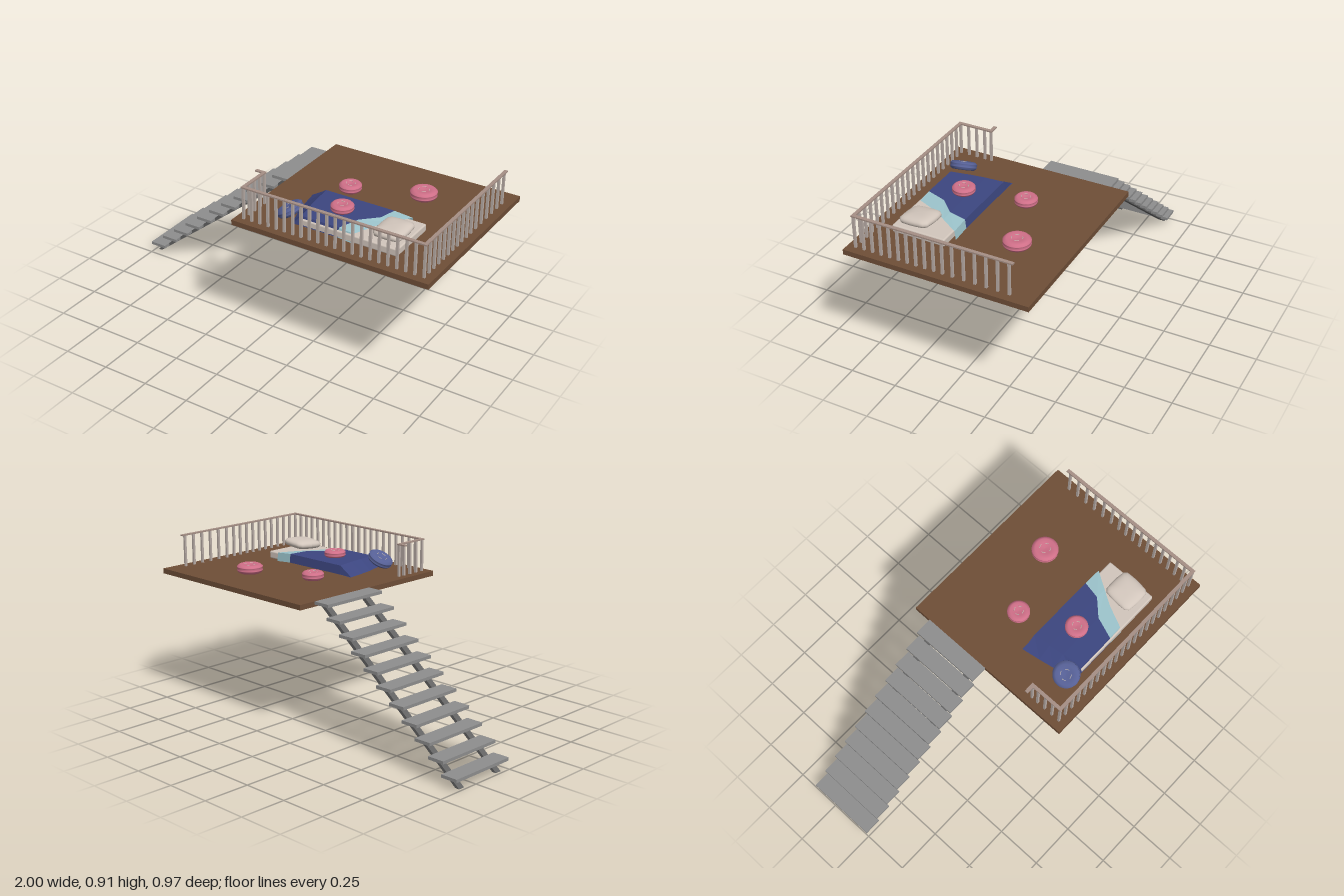
import * as THREE from 'three';
import { RoundedBoxGeometry } from 'three/addons/geometries/RoundedBoxGeometry.js';

const mat = (name, color, side = THREE.FrontSide) => {
  const m = new THREE.MeshStandardMaterial({ color, side });
  m.name = name;
  return m;
};

export function createModel() {
  const M = {
    wood: mat('wood', 0x6f4e37),
    tread: mat('stepGrey', 0x8e8e8e),
    stringer: mat('stringerGrey', 0x626262),
    rail: mat('railTaupe', 0xa58f85),
    post: mat('postGrey', 0xb8aca6),
    pink: mat('pink', 0xcf6f88),
    linen: mat('linen', 0xd2c6bc),
    navy: mat('navy', 0x3c4680, THREE.DoubleSide),
    sky: mat('paleBlue', 0x9cc4cc, THREE.DoubleSide),
    slate: mat('slateBlue', 0x566096),
  };
  for (const k of ['navy', 'sky']) M[k].flatShading = true;

  const model = new THREE.Group();
  model.name = 'sleepingLoft';
  const group = (name) => {
    const g = new THREE.Group();
    g.name = name;
    model.add(g);
    return g;
  };
  const add = (parent, name, geo, material, x = 0, y = 0, z = 0) => {
    const m = new THREE.Mesh(geo, material);
    m.name = name;
    m.position.set(x, y, z);
    parent.add(m);
    return m;
  };
  // Box given by its lower and upper limits
  const box = (parent, name, material, [x0, x1], [y0, y1], [z0, z1]) =>
    add(parent, name, new THREE.BoxGeometry(x1 - x0, y1 - y0, z1 - z0), material,
      (x0 + x1) / 2, (y0 + y1) / 2, (z0 + z1) / 2);

  // Platform
  box(model, 'platform', M.wood, [-0.075, 1], [0.703, 0.73], [-0.487, 0.487]);

  // Open stairs: eleven treads on two sloping stringers
  const stairs = group('stairs');
  for (let i = 0; i < 11; i++) {
    const x = -1 + i * 0.0832, y = 0.055 + i * 0.0667;
    box(stairs, 'tread', M.tread, [x, x + 0.093], [y - 0.008, y + 0.008], [-0.39, -0.008]);
  }
  const slope = new THREE.Shape([
    [-0.985, 0], [-0.962, 0], [-0.076, 0.708], [-0.096, 0.716],
  ].map((p) => new THREE.Vector2(...p)));
  for (const z of [-0.083, -0.353])
    add(stairs, 'stringer', new THREE.ExtrudeGeometry(slope, { depth: 0.035, bevelEnabled: false }),
      M.stringer, 0, 0, z);

  // Railing on the front, left side and a short return by the stairs
  const railing = group('railing');
  const railY = [0.899, 0.906];
  box(railing, 'frontRail', M.rail, [-0.039, 0.964], railY, [0.435, 0.453]);
  box(railing, 'sideRail', M.rail, [0.946, 0.964], railY, [-0.39, 0.435]);
  box(railing, 'stairRail', M.rail, [-0.039, -0.021], railY, [0.257, 0.435]);
  box(railing, 'returnRail', M.rail, [-0.078, -0.039], railY, [0.257, 0.275]);
  const post = (x, z) => box(railing, 'baluster', M.post,
    [x - 0.006, x + 0.006], [0.728, 0.9], [z - 0.006, z + 0.006]);
  for (let i = 0; i <= 21; i++) post(-0.03 + i * 0.985 / 21, 0.444);
  for (let i = 1; i <= 10; i++) post(0.955, 0.444 - i * 0.0469);
  for (let i = 0; i < 6; i++) post(0.955, -0.077 - i * 0.0582);
  for (let i = 1; i <= 3; i++) post(-0.03, 0.444 - i * 0.0469);
  post(-0.03, 0.266);

  // Mattress
  const bed = group('bed');
  add(bed, 'mattress', new RoundedBoxGeometry(0.54, 0.041, 0.286, 2, 0.008), M.linen, 0.5, 0.7515, 0.218);

  // Pillow: a flattened sphere pushed out towards square corners
  const pg = new THREE.SphereGeometry(1, 28, 18);
  const pp = pg.attributes.position;
  const sq = (v, e) => Math.sign(v) * Math.abs(v) ** e;
  for (let i = 0; i < pp.count; i++) {
    const x = pp.getX(i), y = pp.getY(i), z = pp.getZ(i);
    const r = Math.hypot(x, z);
    const k = r > 1e-5 ? r / Math.max(Math.abs(x), Math.abs(z)) : 1;
    const grow = 1 + (k - 1) * 0.75;
    pp.setXYZ(i, sq(r, 0.7) * (r > 1e-5 ? x / r : 0) * grow * 0.08,
      sq(y, 0.9) * 0.027, sq(r, 0.7) * (r > 1e-5 ? z / r : 0) * grow * 0.084);
  }
  pg.computeVertexNormals();
  add(bed, 'pillow', pg, M.linen, 0.688, 0.802, 0.25).rotation.set(0.08, -0.05, 0.06);

  // Blanket: strips between edge lines that run across the bed
  const across = [0.06, 0.066, 0.16, 0.24, 0.35, 0.362];
  const height = [0.737, 0.784, 0.787, 0.787, 0.784, 0.737];
  const edge = (xs, lift = 0, flat = false) => xs.map((x, i) =>
    [x, flat ? 0.734 : height[i] + lift, across[i]]);
  const sheet = (name, material, edges) => {
    const n = across.length, index = [];
    for (let r = 0; r < edges.length - 1; r++)
      for (let c = 0; c < n - 1; c++) {
        const a = r * n + c, b = a + n;
        index.push(a, a + 1, b, b, a + 1, b + 1);
      }
    const g = new THREE.BufferGeometry();
    g.setAttribute('position', new THREE.Float32BufferAttribute(edges.flat(2), 3));
    g.setIndex(index);
    g.computeVertexNormals();
    add(bed, name, g, material);
  };
  const foldLine = [0.59, 0.59, 0.57, 0.49, 0.45, 0.45];
  sheet('blanket', M.navy, [
    edge([0.125, 0.125, 0.14, 0.155, 0.19, 0.2], 0, true),
    edge([0.2, 0.205, 0.215, 0.225, 0.24, 0.24]),
    edge(foldLine),
  ]);
  sheet('blanketFold', M.sky, [
    edge(foldLine),
    edge([0.69, 0.69, 0.63, 0.58, 0.53, 0.53], -0.008),
  ]);

  // Round cushions with two piped seams and a tufted ring on top
  const profile = [
    [0, 0], [0.8, 0], [0.92, 0.12], [0.95, 0.26], [1, 0.3], [1, 0.36], [0.97, 0.4],
    [0.98, 0.52], [0.97, 0.64], [1, 0.68], [1, 0.74], [0.95, 0.78], [0.88, 0.92],
    [0.74, 1], [0.5, 0.97], [0.25, 0.88], [0, 0.85],
  ];
  const cushion = (name, material, r, h, x, y, z) => {
    const g = group(name);
    g.position.set(x, y, z);
    add(g, 'cushionBody', new THREE.LatheGeometry(
      profile.map(([a, b]) => new THREE.Vector2(a * r, b * h)), 32), material);
    for (let i = 0; i < 4; i++) {
      const stitch = add(g, 'stitch', new THREE.TorusGeometry(r * 0.4, 0.0016, 5, 6, 0.8), M.linen, 0, h * 0.945, 0);
      stitch.rotation.set(-Math.PI / 2, 0, i * Math.PI / 2);
    }
    return g;
  };
  cushion('largeFloorCushion', M.pink, 0.069, 0.047, 0.6, 0.73, -0.218);
  cushion('smallFloorCushion', M.pink, 0.058, 0.042, 0.255, 0.73, -0.085);
  cushion('bedCushion', M.pink, 0.058, 0.04, 0.375, 0.782, 0.195);
  // Cushion leaning on the foot of the bed
  cushion('leaningCushion', M.slate, 0.069, 0.042, 0.168, 0.766, 0.32).rotation.set(0.12, 0, 0.5);

  return model;
}
